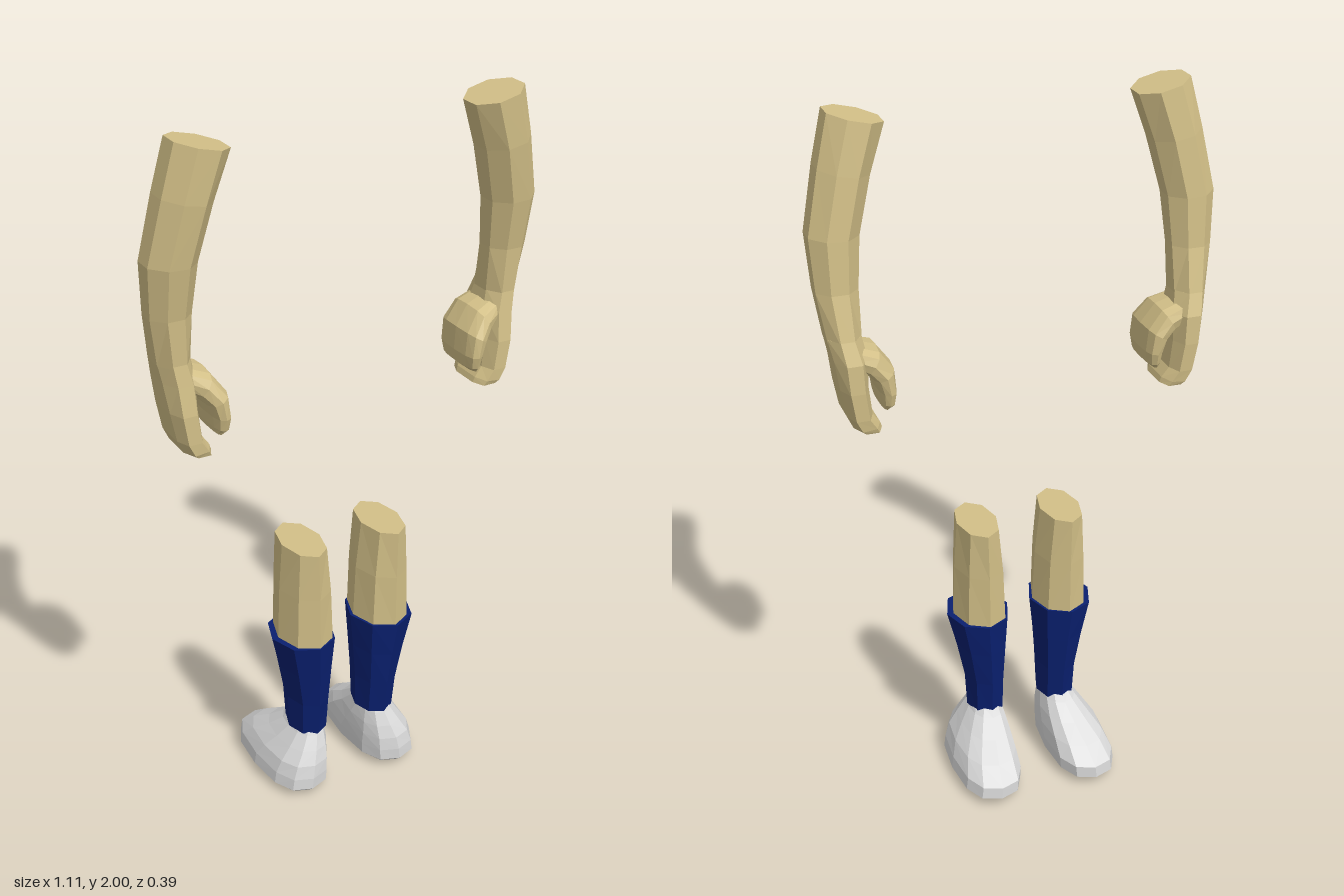
import * as THREE from 'three';

// Closed loft through rings: [x, y, z, radiusX, radiusZ, tilt about z, squareness power]
function loft(sections, sides, phase, side) {
  const pos = [], idx = [];
  const fit = Math.cos(phase);
  const shape = (v, p) => Math.sign(v) * Math.pow(Math.abs(v), p);
  for (const [x, y, z, rx, rz, tilt = 0, p = 1] of sections) {
    for (let i = 0; i < sides; i++) {
      const a = (i / sides) * Math.PI * 2 + phase;
      const u = rx * shape(Math.cos(a) / fit, p), w = rz * shape(Math.sin(a) / fit, p);
      pos.push(side * (x + u * Math.cos(tilt)), y + u * Math.sin(tilt), z + w);
    }
  }
  const n = sections.length;
  for (let r = 0; r < n - 1; r++) {
    for (let i = 0; i < sides; i++) {
      const a = r * sides + i, b = r * sides + (i + 1) % sides;
      idx.push(a, a + sides, b, b, a + sides, b + sides);
    }
  }
  const end = (n - 1) * sides;
  for (let i = 1; i < sides - 1; i++) {
    idx.push(0, i, i + 1, end, end + i + 1, end + i);
  }
  // Turn every face outward, whichever way the loft runs or is mirrored
  let volume = 0;
  const v = (i) => new THREE.Vector3().fromArray(pos, i * 3);
  for (let i = 0; i < idx.length; i += 3) {
    volume += v(idx[i]).dot(v(idx[i + 1]).cross(v(idx[i + 2])));
  }
  if (volume < 0) idx.reverse();
  const geo = new THREE.BufferGeometry();
  geo.setAttribute('position', new THREE.Float32BufferAttribute(pos, 3));
  geo.setIndex(idx);
  geo.computeVertexNormals();
  return geo;
}

// Ring given by its limits on x and z
const span = (y, x0, x1, z0, z1, p = 1, tilt = 0) =>
  [(x0 + x1) / 2, y, (z0 + z1) / 2, (x1 - x0) / 2, (z1 - z0) / 2, tilt, p];

const ARM = [
  span(1.982, 0.338, 0.487, 0.05, 0.195, 1, 0.24),
  span(1.85, 0.383, 0.52, 0.038, 0.187, 1, 0.2),
  span(1.69, 0.422, 0.554, 0.028, 0.165, 1, 0.05),
  span(1.55, 0.434, 0.546, 0.022, 0.138),
  span(1.42, 0.437, 0.527, -0.005, 0.13),
];
const HAND = [
  span(1.43, 0.438, 0.528, -0.004, 0.13),
  span(1.37, 0.428, 0.516, -0.024, 0.137, 0.85),
  span(1.29, 0.43, 0.505, -0.025, 0.147, 0.75),
  span(1.21, 0.422, 0.49, -0.02, 0.147, 0.7),
  span(1.178, 0.402, 0.474, -0.015, 0.145, 0.7, -0.1),
  span(1.166, 0.397, 0.462, -0.01, 0.14, 0.7),
];
const THUMB = [
  [0.465, 1.375, 0.06, 0.035, 0.068, -1.5, 0.75],
  [0.415, 1.353, 0.068, 0.038, 0.08, -1.0, 0.75],
  [0.385, 1.315, 0.075, 0.033, 0.09, -0.5, 0.75],
  [0.376, 1.265, 0.077, 0.025, 0.088, 0, 0.75],
  [0.377, 1.232, 0.077, 0.02, 0.08, 0.1, 0.75],
  [0.383, 1.217, 0.077, 0.01, 0.065, 0.1, 0.75],
];
const LEG = [
  span(0.8, 0.066, 0.182, -0.03, 0.18),
  span(0.66, 0.05, 0.192, -0.03, 0.181),
  span(0.49, 0.042, 0.198, -0.03, 0.181),
];
const SOCK = [
  span(0.505, 0.034, 0.216, -0.036, 0.187),
  span(0.4, 0.044, 0.19, -0.025, 0.172),
  span(0.29, 0.053, 0.168, -0.014, 0.158),
  span(0.185, 0.055, 0.163, -0.004, 0.143),
];
const SHOE = [
  span(0.2, 0.068, 0.152, -0.002, 0.135),
  span(0.18, 0.063, 0.162, -0.02, 0.143, 0.9),
  span(0.14, 0.056, 0.19, -0.075, 0.16, 0.85),
  span(0.1, 0.053, 0.218, -0.14, 0.174, 0.8),
  span(0.06, 0.052, 0.233, -0.195, 0.179, 0.78),
  span(0.025, 0.054, 0.238, -0.196, 0.178, 0.78),
  span(0.005, 0.075, 0.218, -0.165, 0.155, 0.78),
  span(0, 0.09, 0.2, -0.13, 0.13, 0.78),
];

export function createModel() {
  const mat = (name, color) => {
    const m = new THREE.MeshStandardMaterial({ color, flatShading: true });
    m.name = name;
    return m;
  };
  const skin = mat('skin', 0xd3c088);
  const navy = mat('navy', 0x0a2070);
  const white = mat('white', 0xdcdcdc);

  const parts = [
    ['Arm', ARM, 8, Math.PI / 8, skin],
    ['Hand', HAND, 8, Math.PI / 8, skin],
    ['Thumb', THUMB, 12, 0, skin],
    ['Leg', LEG, 8, 0, skin],
    ['Sock', SOCK, 8, 0, navy],
    ['Shoe', SHOE, 12, 0, white],
  ];
  const model = new THREE.Group();
  model.name = 'limbs';
  for (const [label, side] of [['left', 1], ['right', -1]]) {
    for (const [part, rings, sides, phase, material] of parts) {
      const mesh = new THREE.Mesh(loft(rings, sides, phase, side), material);
      mesh.name = label + part;
      model.add(mesh);
    }
  }
  return model;
}
